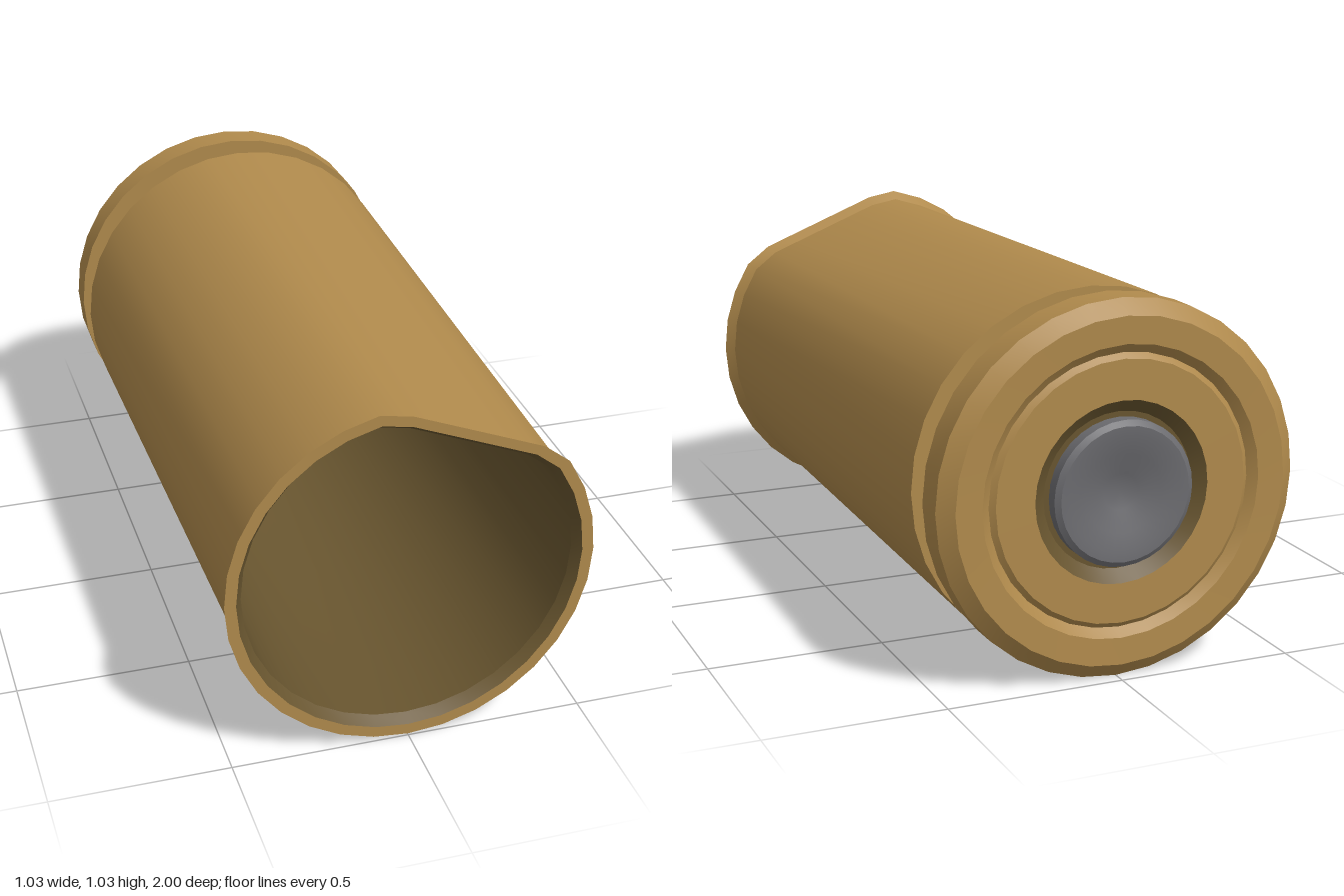
import * as THREE from 'three';
import { mergeVertices } from 'three/addons/utils/BufferGeometryUtils.js';

const SIDES = 32;
const CENTRE_Y = 0.52;

// Flatten the upper left of the tube, strongest at the mouth, fading to the rear.
function dent(geometry) {
  const p = geometry.attributes.position;
  const nx = 0.371, ny = 0.928;
  for (let i = 0; i < p.count; i++) {
    const x = p.getX(i), y = p.getY(i), z = p.getZ(i);
    const t = Math.min(1, Math.max(0, (z + 0.77) / 1.74));
    const push = t * Math.max(0, x * nx + y * ny - 0.873 * Math.hypot(x, y));
    p.setXY(i, x - nx * push, y - ny * push);
  }
}

// Smooth surface of revolution about z from [radius, z] points.
function turn(points, dented) {
  let g = new THREE.LatheGeometry(points.map(([r, z]) => new THREE.Vector2(r, z)), SIDES);
  g.rotateX(Math.PI / 2);
  g.deleteAttribute('uv');
  g.deleteAttribute('normal');
  g = mergeVertices(g, 1e-5);
  if (dented) dent(g);
  g.computeVertexNormals();
  return g;
}

export function createModel() {
  const material = (name, color) => new THREE.MeshStandardMaterial({ name, color });
  const brass = material('brass', 0xb08a4c);
  const darkBrass = material('dark brass', 0x68552f);
  const steel = material('primer grey', 0x6c6c70);
  darkBrass.side = THREE.DoubleSide;

  const model = new THREE.Group();
  model.name = 'casing';

  // Each strip is smooth within itself and has a hard edge to the next.
  function part(name, mat, strips, dented = false) {
    const group = new THREE.Group();
    group.name = name;
    for (const strip of strips) {
      const mesh = new THREE.Mesh(turn(strip, dented), mat);
      mesh.name = name + 'Surface';
      group.add(mesh);
    }
    group.position.y = CENTRE_Y;
    model.add(group);
  }

  // Splits a profile into one hard-edged strip per segment.
  const hard = (pts) => pts.slice(1).map((p, i) => [pts[i], p]);

  // Tapered tube with a flared lip
  part('body', brass, hard([
    [0.445, -0.775], [0.512, -0.775], [0.488, 0.97], [0.512, 1], [0.48, 1],
  ]), true);

  // Inside of the lip, then the bore with its floor
  part('bore', darkBrass, [
    [[0.48, 1], [0.46, 0.97]],
    [[0.46, 0.97], [0.445, -0.75], [0, -0.75]],
  ], true);

  // Groove between tube and flange
  part('extractorGroove', darkBrass, [[[0.445, -0.87], [0.445, -0.775]]]);

  // Flange with chamfered rear edge and stepped rear face
  part('flange', brass, hard([
    [0.25, -0.982], [0.36, -0.982], [0.375, -0.97], [0.4, -0.99], [0.475, -0.993],
    [0.517, -0.96], [0.517, -0.87], [0.445, -0.87],
  ]));

  // Sunken ring around the primer
  part('primerPocket', darkBrass, hard([[0.195, -0.955], [0.215, -0.955], [0.25, -0.982]]));

  // Primer cap with a dished centre
  part('primer', steel, [
    [[0, -0.965], [0.05, -0.972], [0.11, -0.99], [0.16, -0.999], [0.185, -1]],
    [[0.185, -1], [0.2, -0.99]],
    [[0.2, -0.99], [0.2, -0.955]],
  ]);

  return model;
}
